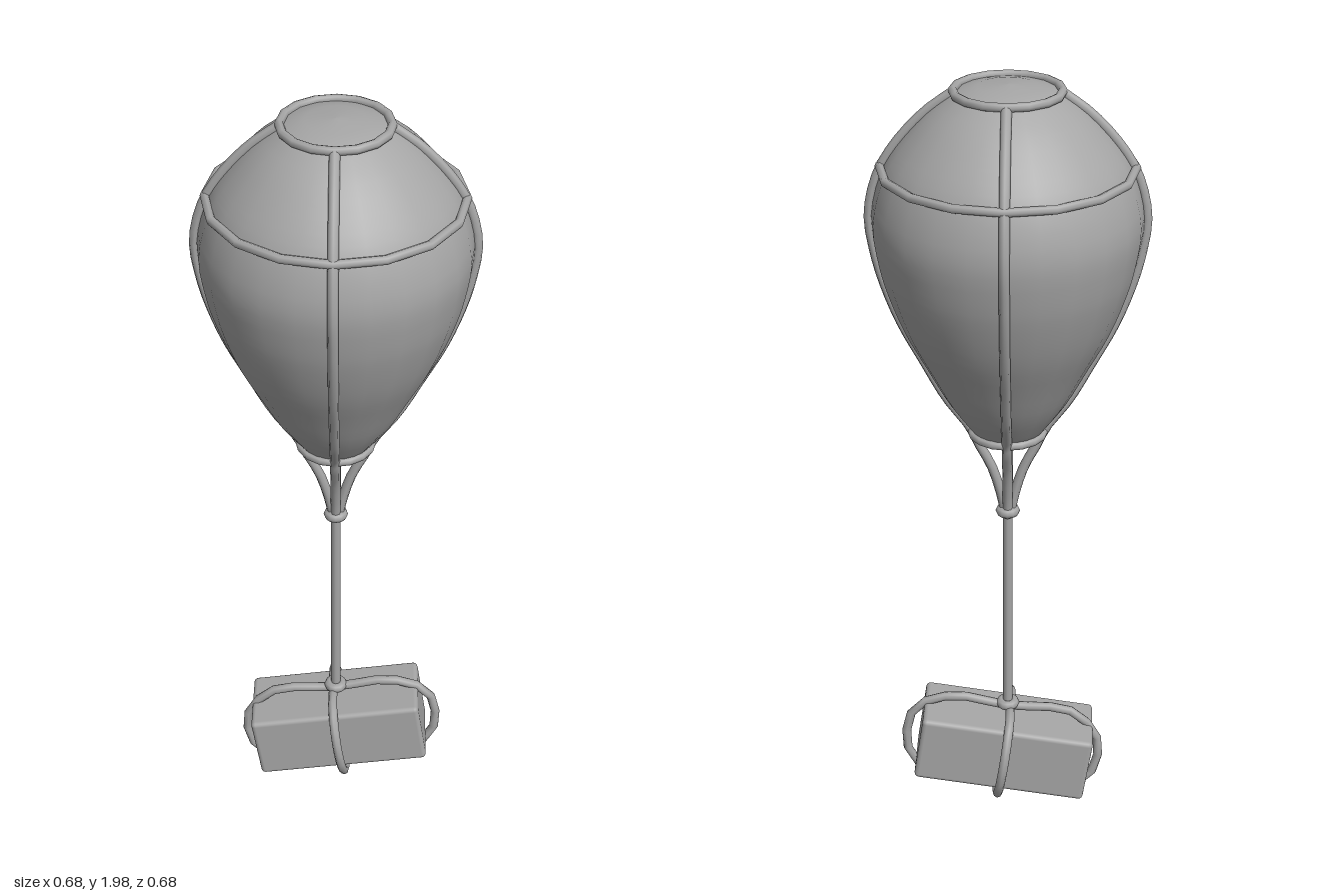
import * as THREE from 'three';
import { RoundedBoxGeometry } from 'three/addons/geometries/RoundedBoxGeometry.js';

const grey = new THREE.MeshStandardMaterial({ color: 0xa6a6a6 });
grey.name = 'plain grey';

function add(parent, name, geometry) {
  const mesh = new THREE.Mesh(geometry, grey);
  mesh.name = name;
  parent.add(mesh);
  return mesh;
}

// Rope following a smooth curve through the given points
function rope(parent, name, points, radius, segments, closed = false) {
  const curve = new THREE.CatmullRomCurve3(points.map(p => new THREE.Vector3(...p)), closed, 'centripetal');
  return add(parent, name, new THREE.TubeGeometry(curve, segments, radius, 8, closed));
}

// Horizontal ring of rope
function ring(parent, name, y, radius, tube, segments) {
  const geometry = new THREE.TorusGeometry(radius, tube, 8, segments);
  geometry.rotateX(Math.PI / 2);
  const mesh = add(parent, name, geometry);
  mesh.position.y = y;
  return mesh;
}

export function createModel() {
  const model = new THREE.Group();
  model.name = 'balloonWithParcel';

  // Envelope silhouette as [radius, height], from the neck to the crown
  const side = [
    [0.085, 1.115], [0.146, 1.2], [0.2, 1.3], [0.252, 1.4], [0.29, 1.5], [0.311, 1.58],
    [0.323, 1.68], [0.3, 1.78], [0.26, 1.85], [0.188, 1.93], [0.118, 1.982],
  ];
  const smoothSide = new THREE.SplineCurve(side.map(p => new THREE.Vector2(...p))).getPoints(30);
  const profile = [
    new THREE.Vector2(0, 1.083), new THREE.Vector2(0.045, 1.087), new THREE.Vector2(0.07, 1.1),
    ...smoothSide,
    new THREE.Vector2(0.07, 1.994), new THREE.Vector2(0, 1.999),
  ];
  add(model, 'envelope', new THREE.LatheGeometry(profile, 24));

  // Ropes down the envelope, gathered at the upper knot
  const offset = 0.005;
  const path = [
    [0.006, 0.87], [0.014, 0.92], [0.04, 1.01], [0.078, 1.085],
    ...side.map(([r, y]) => [r + offset, y]),
  ];
  for (let i = 0; i < 4; i++) {
    const strand = rope(model, 'envelopeRope', path.map(([r, y]) => [r, y, 0]), 0.0125, 36);
    strand.rotation.y = i * Math.PI / 2;
  }
  ring(model, 'crownRing', 1.983, 0.127, 0.011, 16);
  ring(model, 'shoulderRing', 1.8, 0.3, 0.011, 16);
  ring(model, 'neckRing', 1.113, 0.09, 0.011, 16);

  // Hanging line with a knot at each end
  rope(model, 'hangingRope', [[0, 0.9, 0], [0, 0.6, 0.001], [0, 0.28, 0]], 0.0125, 6);
  ring(model, 'upperKnot', 0.885, 0.018, 0.013, 12);
  ring(model, 'lowerKnot', 0.3, 0.018, 0.013, 12);

  // Tilted parcel
  const parcel = new THREE.Group();
  parcel.name = 'parcel';
  parcel.position.set(0.01, 0.175, 0);
  parcel.rotation.z = 0.15;
  model.add(parcel);
  add(parcel, 'box', new RoundedBoxGeometry(0.455, 0.185, 0.195, 2, 0.012));

  // Loop around the middle of the parcel
  const middle = [[0, 0.112], [0.085, 0.112], [0.138, 0.045], [0.138, -0.045], [0.09, -0.11],
    [0, -0.12], [-0.09, -0.11], [-0.138, -0.045], [-0.138, 0.045], [-0.085, 0.112]];
  rope(parcel, 'middleLoop', middle.map(([z, y]) => [0, y, z]), 0.012, 24, true);

  // Slack loop along the length of the parcel
  const lengthwise = [[0, 0.29], [-0.17, 0.273], [-0.242, 0.18], [-0.215, 0.06], [-0.12, 0.025],
    [0.03, 0.057], [0.19, 0.063], [0.267, 0.14], [0.25, 0.275], [0.15, 0.318]];
  rope(model, 'lengthwiseLoop', lengthwise.map(([x, y]) => [x, y, 0]), 0.012, 24, true);

  // Knot where the loops cross underneath
  const crossing = ring(parcel, 'bottomKnot', -0.12, 0.015, 0.011, 10);
  crossing.position.x = 0.005;

  return model;
}
